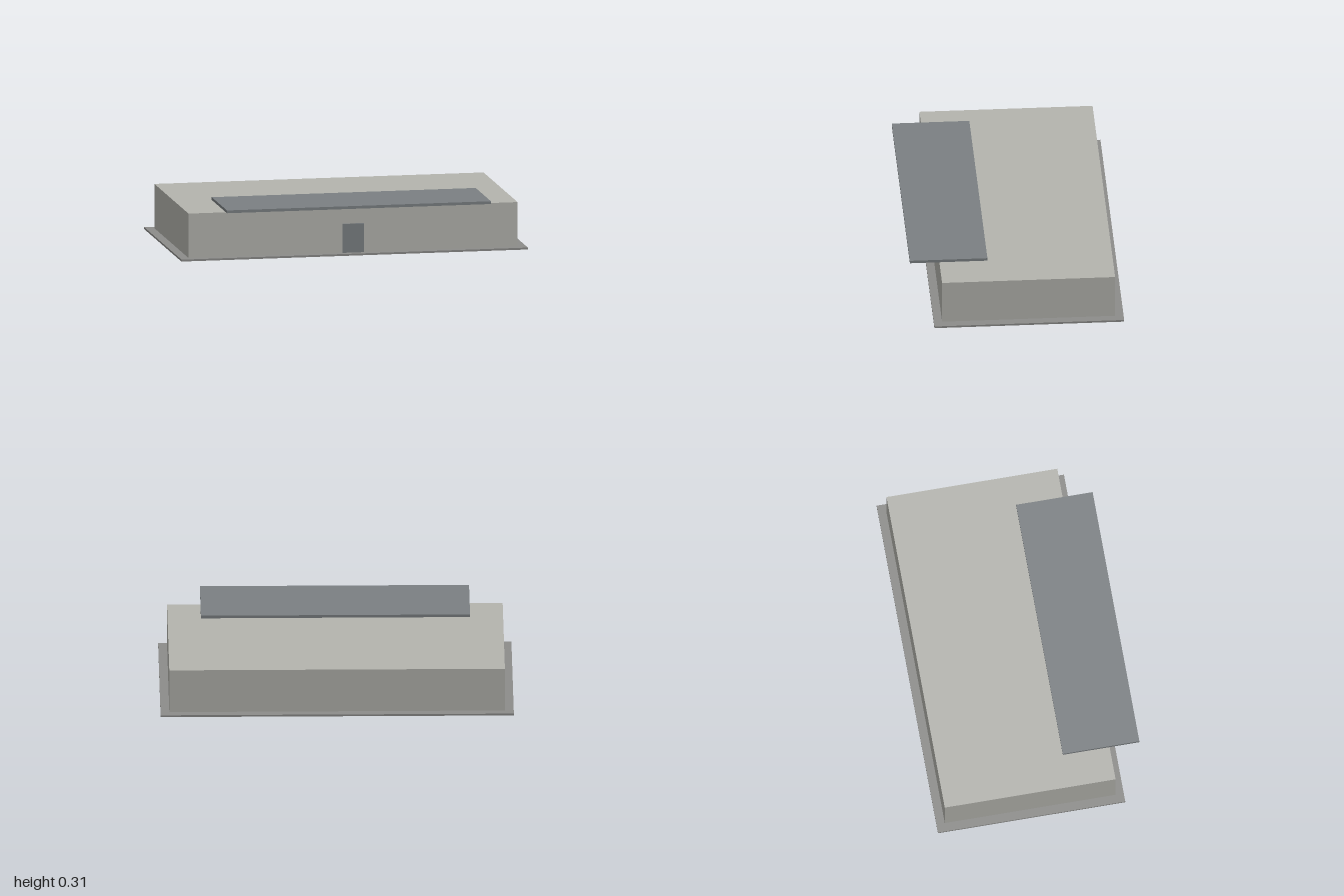
import * as THREE from 'three';

// Box given by its minimum and maximum corners
function block(name, color, [x0, y0, z0], [x1, y1, z1]) {
  const mesh = new THREE.Mesh(
    new THREE.BoxGeometry(x1 - x0, y1 - y0, z1 - z0),
    new THREE.MeshStandardMaterial({ color })
  );
  mesh.position.set((x0 + x1) / 2, (y0 + y1) / 2, (z0 + z1) / 2);
  mesh.name = name;
  return mesh;
}

export function createModel() {
  const model = new THREE.Group();
  model.name = 'building';
  model.add(
    // Thin ground slab with a narrow margin around the walls
    block('foundationSlab', 0x8c8c8a, [-1, 0, -0.6], [1, 0.011, 0.477]),
    // Main flat-roofed volume
    block('buildingBody', 0xb4b4ae, [-0.95, 0.011, -0.552], [0.95, 0.266, 0.43]),
    // Door standing slightly proud of the front wall
    block('frontDoor', 0x7b8083, [-0.062, 0.011, 0.42], [0.062, 0.177, 0.44]),
    // Canopy floating above the front edge of the roof
    block('frontCanopy', 0x7b8083, [-0.762, 0.291, 0.16], [0.762, 0.307, 0.6])
  );
  return model;
}
